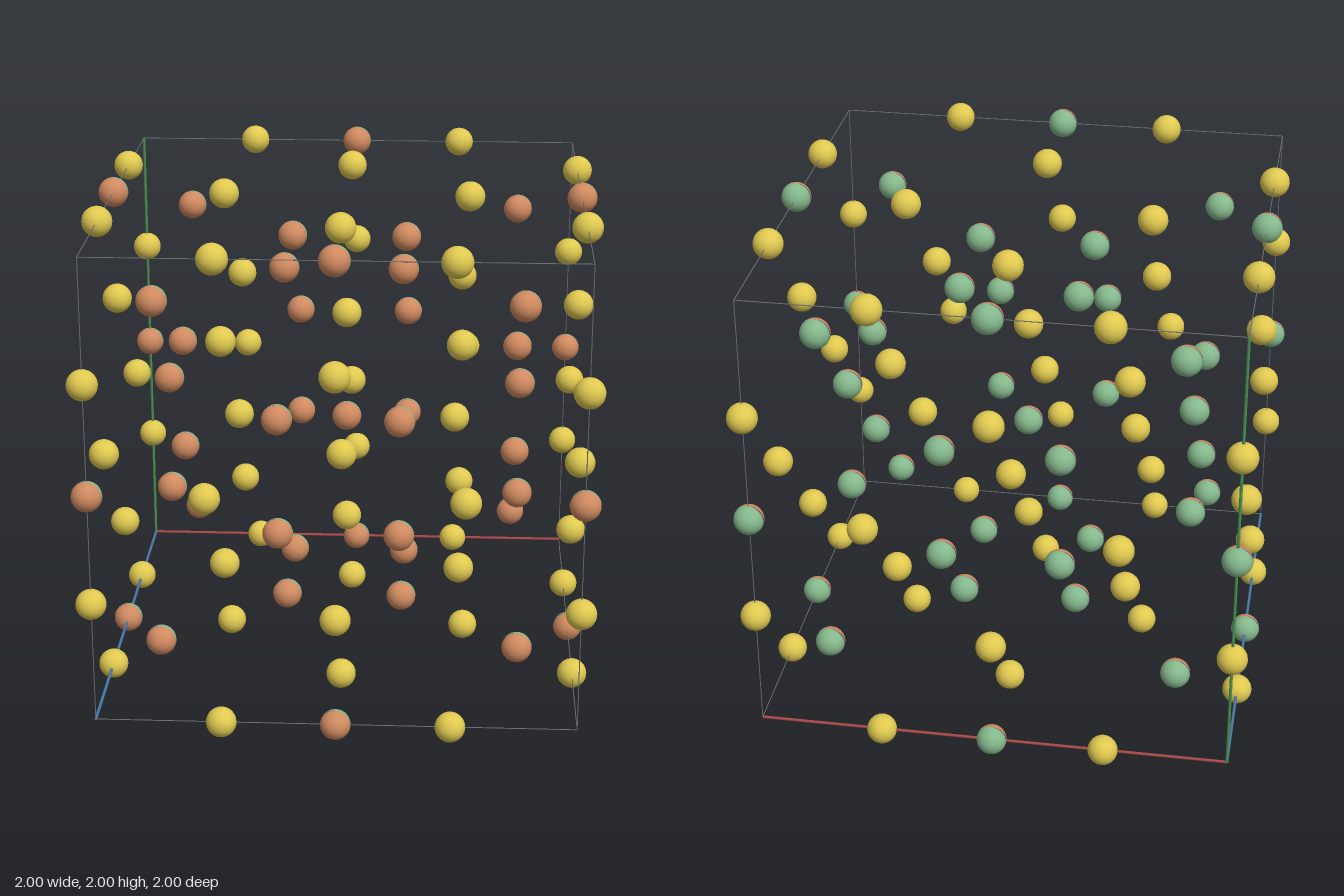
import * as THREE from 'three';

const CELL = 1.88;    // cube edge
const RADIUS = 0.06;  // atom radius

const material = (name, color) => {
  const m = new THREE.MeshStandardMaterial({ color });
  m.name = name;
  return m;
};

// Face-centred copies of one site, with repeats on the cell boundary
function expandSites(sites) {
  const shifts = [[0, 0, 0], [0, 0.5, 0.5], [0.5, 0, 0.5], [0.5, 0.5, 0]];
  const found = new Map();
  for (const site of sites) {
    for (const shift of shifts) {
      const options = site.map((v, i) => {
        const w = (((v + shift[i]) % 1) + 1) % 1;
        return w < 1e-6 ? [0, 1] : [w];
      });
      for (const x of options[0]) for (const y of options[1]) for (const z of options[2]) {
        found.set([x, y, z].map(v => v.toFixed(3)).join(), [x, y, z]);
      }
    }
  }
  return [...found.values()];
}

// Fraction of the cell to model position
const place = ([x, y, z]) => new THREE.Vector3(
  (x - 0.5) * CELL, RADIUS + y * CELL, (z - 0.5) * CELL);

// Lune of a ball between two shares of a full turn
const lune = (from, to, segments) => new THREE.SphereGeometry(
  RADIUS, segments, 16, from * Math.PI * 2, (to - from) * Math.PI * 2);

export function createModel() {
  const model = new THREE.Group();
  model.name = 'crystalCell';

  const yellow = material('yellow', 0xe0c950);
  const copper = material('copper', 0xd08a60);
  const green = material('green', 0x85b88c);
  const slate = material('slateBlue', 0x46506e);
  const frameGrey = material('frameGrey', 0x6c7074);
  const axisColours = [
    material('axisRed', 0xa84848),
    material('axisGreen', 0x48904f),
    material('axisBlue', 0x4878a8),
  ];

  // Yellow atoms: eight octant centres and pairs along every axis
  const s = 0.2625;
  const yellowSites = [[0.25, 0.25, 0.25], [0.75, 0.75, 0.75]];
  for (const v of [s, -s]) yellowSites.push([v, 0, 0], [0, v, 0], [0, 0, v]);
  const ball = new THREE.SphereGeometry(RADIUS, 24, 16);
  const yellowAtoms = new THREE.Group();
  yellowAtoms.name = 'yellowAtoms';
  for (const site of expandSites(yellowSites)) {
    const atom = new THREE.Mesh(ball, yellow);
    atom.name = 'yellowAtom';
    atom.position.copy(place(site));
    yellowAtoms.add(atom);
  }
  model.add(yellowAtoms);

  // Mixed atoms: cell centre, edge middles and small cubes of eight
  const c = 0.1255;
  const mixedSites = [[0.5, 0.5, 0.5]];
  for (const x of [c, -c]) for (const y of [c, -c]) for (const z of [c, -c]) {
    mixedSites.push([x, y, z]);
  }
  const parts = [
    ['copperSide', lune(0, 0.47, 12), copper],
    ['greenSide', lune(0.47, 0.98, 12), green],
    ['slateSliver', lune(0.98, 1, 1), slate],
  ];
  const mixedAtoms = new THREE.Group();
  mixedAtoms.name = 'mixedAtoms';
  for (const site of expandSites(mixedSites)) {
    const atom = new THREE.Group();
    atom.name = 'mixedAtom';
    for (const [name, geometry, colour] of parts) {
      const part = new THREE.Mesh(geometry, colour);
      part.name = name;
      atom.add(part);
    }
    atom.position.copy(place(site));
    mixedAtoms.add(atom);
  }
  model.add(mixedAtoms);

  // Cell frame: nine thin edges and three thicker axes from one corner
  const thin = new THREE.CylinderGeometry(0.002, 0.002, CELL, 8);
  const thick = new THREE.CylinderGeometry(0.006, 0.006, CELL, 10);
  const frame = new THREE.Group();
  frame.name = 'cellFrame';
  const up = new THREE.Vector3(0, 1, 0);
  for (let axis = 0; axis < 3; axis++) {
    for (const a of [0, 1]) for (const b of [0, 1]) {
      const middle = [0, 0, 0];
      middle[axis] = 0.5;
      middle[(axis + 1) % 3] = a;
      middle[(axis + 2) % 3] = b;
      const isAxis = a + b === 0;
      const bar = new THREE.Mesh(isAxis ? thick : thin, isAxis ? axisColours[axis] : frameGrey);
      bar.name = isAxis ? 'axisBar' : 'edgeBar';
      bar.position.copy(place(middle));
      bar.quaternion.setFromUnitVectors(up, new THREE.Vector3().setComponent(axis, 1));
      frame.add(bar);
    }
  }
  model.add(frame);

  return model;
}
